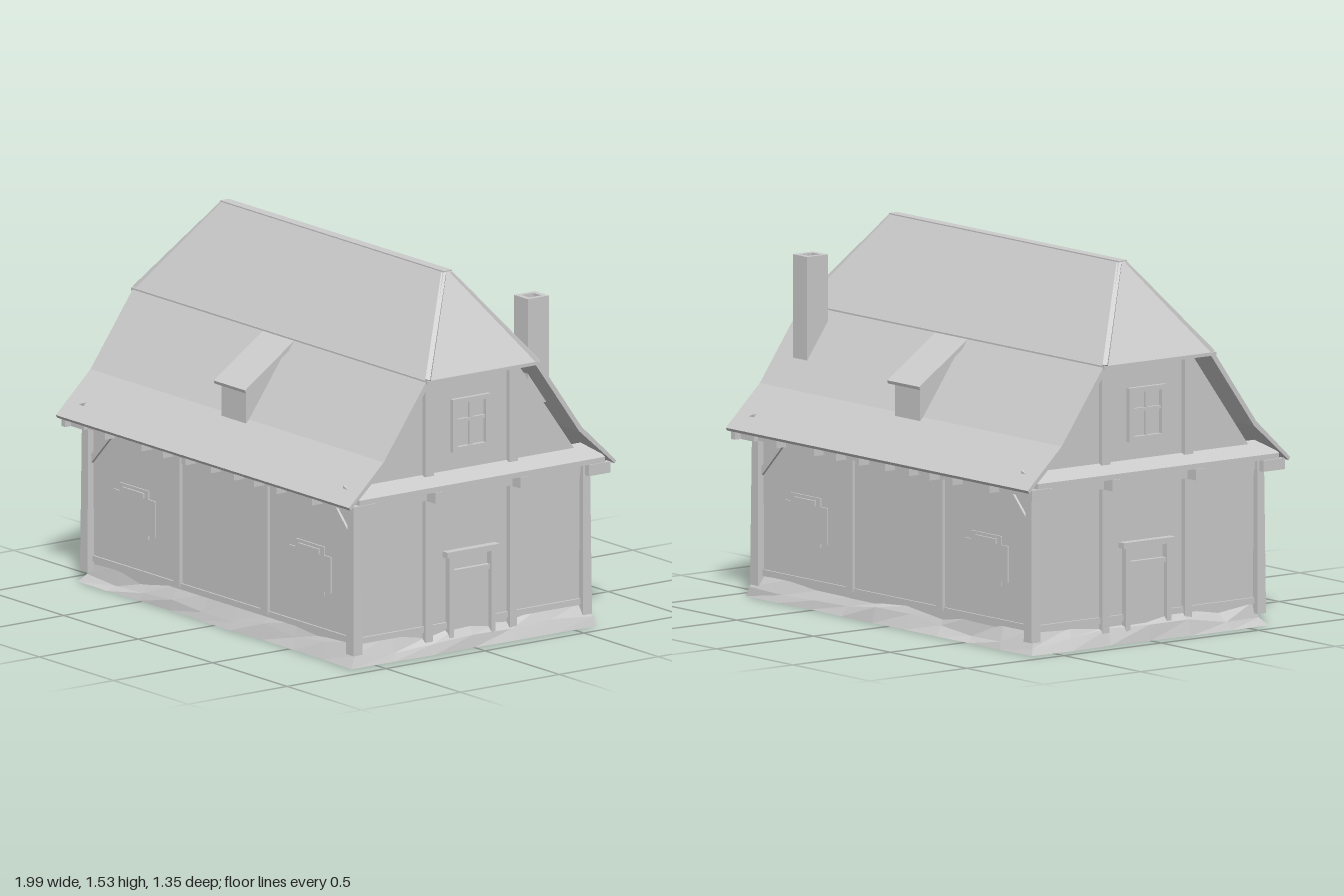
import * as THREE from 'three';

const plaster = new THREE.MeshStandardMaterial({ color: 0xcccccc, flatShading: true, side: THREE.DoubleSide });
plaster.name = 'pale grey';

function add(group, name, geometry) {
  const mesh = new THREE.Mesh(geometry, plaster);
  mesh.name = name;
  group.add(mesh);
  return mesh;
}

// box given by its limits on each axis
function block(group, name, x0, x1, y0, y1, z0, z1) {
  const mesh = add(group, name, new THREE.BoxGeometry(x1 - x0, y1 - y0, z1 - z0));
  mesh.position.set((x0 + x1) / 2, (y0 + y1) / 2, (z0 + z1) / 2);
  return mesh;
}

// box whose top is scaled to another width and depth
function taper(w, h, d, topW, topD) {
  const g = new THREE.BoxGeometry(w, h, d);
  const p = g.attributes.position;
  for (let i = 0; i < p.count; i++) {
    if (p.getY(i) > 0) {
      p.setX(i, Math.sign(p.getX(i)) * topW / 2);
      p.setZ(i, Math.sign(p.getZ(i)) * topD / 2);
    }
  }
  g.computeVertexNormals();
  return g;
}

// square bar between two points
function bar(group, name, a, b, w) {
  const from = new THREE.Vector3(...a), to = new THREE.Vector3(...b);
  const mesh = add(group, name, new THREE.BoxGeometry(w, w, from.distanceTo(to)));
  mesh.position.copy(from).lerp(to, 0.5);
  mesh.lookAt(to);
  return mesh;
}

const shapeOf = (pts) => new THREE.Shape(pts.map(([x, y]) => new THREE.Vector2(x, y)));
const rect = (x0, x1, y0, y1) => [[x0, y0], [x1, y0], [x1, y1], [x0, y1]];
const extrude = (shape, depth) => new THREE.ExtrudeGeometry(shape, { depth, bevelEnabled: false });

// outline in (z, y) swept along x from x0 to x1
function sweepX(group, name, pts, x0, x1) {
  const g = extrude(shapeOf(pts.map(([z, y]) => [-z, y])), x1 - x0);
  g.rotateY(Math.PI / 2);
  g.translate(x0, 0, 0);
  return add(group, name, g);
}

// uneven stone footing made of jittered rings
function footing() {
  let seed = 7;
  const rnd = () => (seed = (seed * 16807) % 2147483647) / 2147483647;
  const corners = [[1, 1], [1, -1], [-1, -1], [-1, 1]], counts = [6, 9, 6, 9];
  const around = [];
  corners.forEach(([ax, az], i) => {
    const [bx, bz] = corners[(i + 1) % 4];
    for (let k = 0; k < counts[i]; k++) {
      const t = k / counts[i];
      around.push([ax + (bx - ax) * t, az + (bz - az) * t]);
    }
  });
  const n = around.length, pos = [], idx = [];
  around.forEach(([x, z]) => pos.push(x * (0.925 + rnd() * 0.015), 0, z * (0.605 + rnd() * 0.015)));
  around.forEach(([x, z]) => {
    const out = rnd() * 0.025;
    pos.push(x * (0.9 + out), 0.02 + rnd() * 0.05, z * (0.58 + out));
  });
  around.forEach(([x, z]) => pos.push(x * 0.885, 0.07 + rnd() * 0.04, z * 0.565));
  pos.push(0, 0, 0);
  for (let i = 0; i < n; i++) {
    const j = (i + 1) % n;
    for (let r = 0; r < 2; r++) {
      const a = r * n + i, b = r * n + j;
      idx.push(a, b, b + n, a, b + n, a + n);
    }
    idx.push(3 * n, j, i);
  }
  const g = new THREE.BufferGeometry();
  g.setAttribute('position', new THREE.Float32BufferAttribute(pos, 3));
  g.setIndex(idx);
  const flat = g.toNonIndexed();
  flat.computeVertexNormals();
  return flat;
}

// one long side (+z) together with one gable end (+x)
function buildHalf() {
  const half = new THREE.Group();

  // long wall timbers
  for (const x of [-0.297, 0.291]) block(half, 'wallPost', x - 0.022, x + 0.022, 0.1, 0.66, 0.55, 0.583);
  for (const x of [-0.893, 0.893]) {
    const post = add(half, 'cornerPost', taper(0.052, 0.6, 0.045, 0.04, 0.035));
    post.position.set(x, 0.35, 0.58);
  }
  block(half, 'sillBeam', -0.89, 0.89, 0.09, 0.115, 0.56, 0.578);
  block(half, 'wallPlate', -0.94, 0.94, 0.645, 0.685, 0.54, 0.6);
  for (const s of [-1, 1]) bar(half, 'cornerBrace', [s * 0.88, 0.51, 0.568], [s * 0.73, 0.66, 0.568], 0.026);

  // joist ends under the eaves
  for (const x of [-0.968, -0.7, -0.455, -0.31, -0.16, 0.01, 0.165, 0.3, 0.45, 0.69, 0.968]) {
    block(half, 'joistEnd', x - 0.013, x + 0.013, 0.642, 0.688, 0.54, 0.65);
  }

  // shuttered windows
  for (const x of [-0.59, 0.59]) {
    const outline = [[-0.14, 0.27], [-0.095, 0.27], [-0.095, 0.252], [0.095, 0.252], [0.095, 0.27], [0.14, 0.27],
      [0.14, 0.42], [0.095, 0.42], [0.095, 0.455], [-0.095, 0.455], [-0.095, 0.42], [-0.14, 0.42]];
    add(half, 'windowShutter', extrude(shapeOf(outline), 0.008)).position.set(x, 0, 0.569);
    block(half, 'shutterRail', x - 0.07, x + 0.07, 0.42, 0.442, 0.57, 0.585);
  }

  // lower roof slope with a flared eave
  sweepX(half, 'lowerRoof', [[0.675, 0.69], [0.5, 0.855], [0.28, 1.165], [0.262, 1.155], [0.488, 0.838], [0.668, 0.678]], -0.985, 0.985);

  // dormer
  sweepX(half, 'dormerBody', [[0.515, 0.84], [0.515, 0.985], [0.3, 1.13], [0.3, 1.06]], -0.085, 0.08);
  sweepX(half, 'dormerRoof', [[0.28, 1.16], [0.535, 0.985], [0.531, 0.972], [0.27, 1.145]], -0.11, 0.1);

  // gable wall, posts and skirt board
  sweepX(half, 'gableWall', [[0.52, 0.73], [0.25, 1.13], [-0.25, 1.13], [-0.54, 0.73]], 0.87, 0.895);
  for (const z of [-0.21, 0.215]) {
    block(half, 'gablePostLower', 0.88, 0.912, 0.05, 0.69, z - 0.018, z + 0.018);
    block(half, 'gablePostUpper', 0.88, 0.915, 0.74, 1.145, z - 0.022, z + 0.022);
  }
  for (const z of [-0.6, -0.215, 0.215, 0.6]) block(half, 'gableJoist', 0.87, 0.98, 0.642, 0.688, z - 0.02, z + 0.02);
  block(half, 'gableSill', 0.88, 0.9, 0.09, 0.115, -0.57, 0.57);
  block(half, 'gableBeam', 0.88, 0.925, 0.645, 0.69, -0.58, 0.58);
  const skirt = extrude(shapeOf([[0.87, 0.755], [0.983, 0.712], [0.983, 0.69], [0.87, 0.69]]), 1.24);
  skirt.translate(0, 0, -0.62);
  add(half, 'gableSkirt', skirt);

  // door
  for (const z of [-0.105, 0.105]) block(half, 'doorJamb', 0.885, 0.918, 0.01, 0.39, z - 0.011, z + 0.011);
  block(half, 'doorLintel', 0.885, 0.925, 0.388, 0.412, -0.132, 0.132);
  block(half, 'doorRail', 0.885, 0.91, 0.31, 0.33, -0.095, 0.095);
  block(half, 'doorPanel', 0.885, 0.9, 0.02, 0.31, -0.095, 0.095);

  // attic window
  const frame = shapeOf(rect(-0.095, 0.095, 0.82, 1.04));
  frame.holes.push(shapeOf(rect(-0.072, 0.072, 0.84, 1.02)));
  const frameGeo = extrude(frame, 0.022);
  frameGeo.rotateY(Math.PI / 2);
  add(half, 'windowFrame', frameGeo).position.x = 0.89;
  block(half, 'windowMullion', 0.89, 0.906, 0.84, 1.02, -0.007, 0.007);
  block(half, 'windowTransom', 0.89, 0.906, 0.94, 0.954, -0.072, 0.072);

  // hip caps at this end of the upper roof
  for (const s of [-1, 1]) bar(half, 'hipCap', [0.985, 1.16, s * 0.276], [0.745, 1.52, s * 0.015], 0.02);
  return half;
}

export function createModel() {
  const house = new THREE.Group();
  house.name = 'house';

  add(house, 'stoneFooting', footing());
  block(house, 'walls', -0.89, 0.89, 0.03, 0.68, -0.57, 0.57);
  block(house, 'atticFloor', -0.89, 0.89, 0.68, 0.7, -0.6, 0.6);

  // the two halves are the same, turned half a circle
  for (const turn of [0, Math.PI]) {
    const half = buildHalf();
    half.name = turn ? 'backHalf' : 'frontHalf';
    half.rotation.y = turn;
    house.add(half);
  }

  // half-hipped upper roof
  add(house, 'upperRoof', taper(1.98, 0.37, 0.565, 1.5, 0.045)).position.y = 1.343;
  block(house, 'upperEave', -0.995, 0.995, 1.148, 1.162, -0.287, 0.287);
  block(house, 'ridgeCap', -0.75, 0.75, 1.52, 1.533, -0.022, 0.022);

  // hollow chimney
  const stack = shapeOf(rect(-0.047, 0.047, -0.053, 0.053));
  stack.holes.push(shapeOf(rect(-0.026, 0.026, -0.03, 0.03)));
  const stackGeo = extrude(stack, 0.44);
  stackGeo.rotateX(-Math.PI / 2);
  add(house, 'chimney', stackGeo).position.set(0.823, 0.95, -0.368);
  return house;
}
